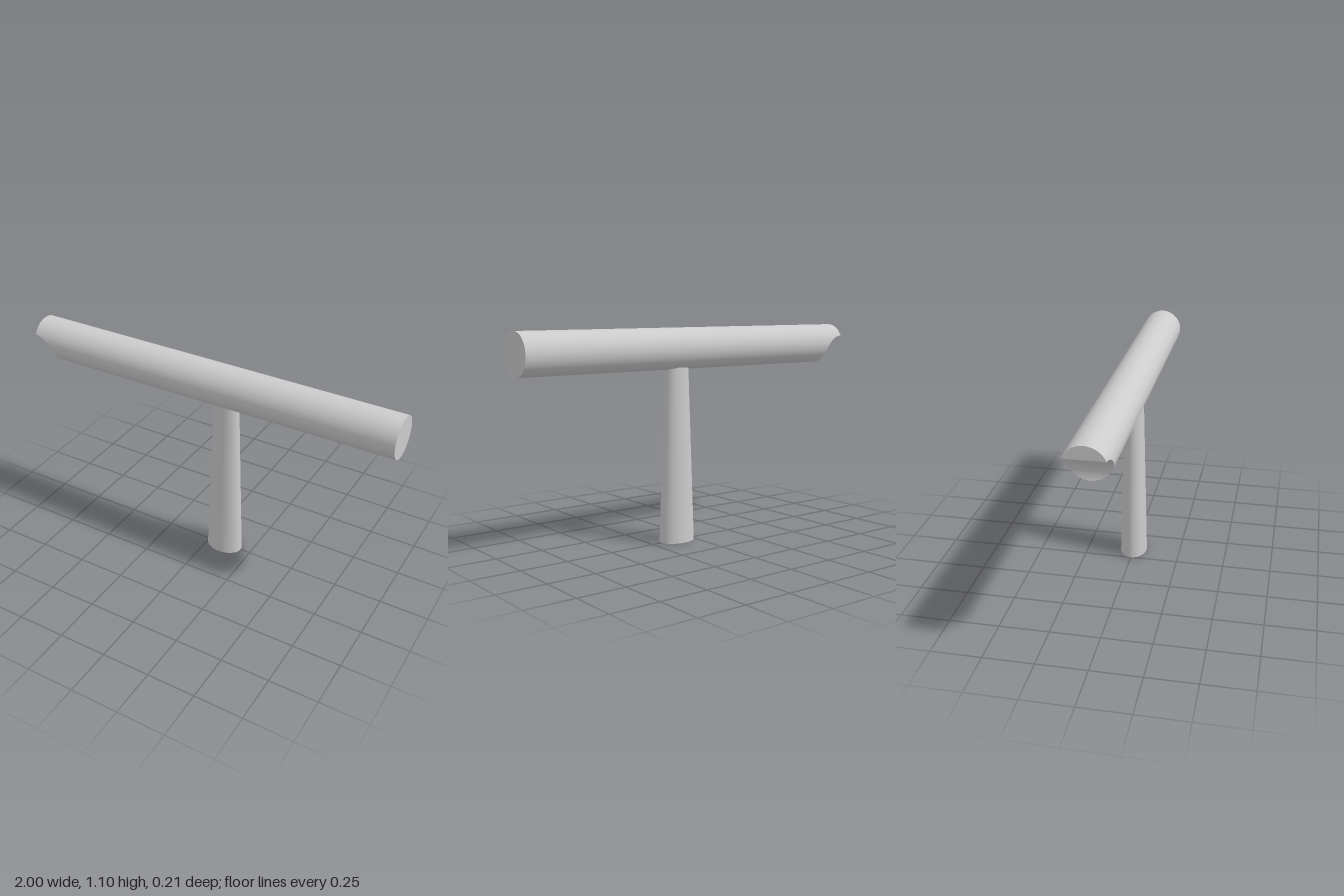
import * as THREE from 'three';
import { toCreasedNormals } from 'three/addons/utils/BufferGeometryUtils.js';

const R = 0.105, CY = 0.993;           // tube radius and axis height
const NOTCH_R = 0.12, NOTCH_Y = 0.915; // round notch cut into the tube's -x end

// x of the tube's notched end at height y
function endX(y) {
  const d = NOTCH_R ** 2 - (y - NOTCH_Y) ** 2;
  return d > 1e-9 ? -1 + Math.sqrt(d) : -1;
}

// Heights of the cross-section rows: even around the tube and even around the notch
function rowHeights() {
  const ys = [NOTCH_Y + NOTCH_R];
  for (let i = 0; i <= 32; i++) ys.push(CY - R * Math.cos(Math.PI * i / 32));
  for (let i = 0; i < 24; i++) ys.push(NOTCH_Y + NOTCH_R * Math.sin(Math.PI / 2 * i / 24));
  return ys.sort((a, b) => a - b).filter((y, i) => i === 0 || y - ys[i - 1] > 1e-6);
}

// Solid tube built from strips that run between neighbouring heights
function tubeGeometry() {
  const pos = [];
  const quad = (a, b, c, d) => pos.push(...a, ...b, ...c, ...a, ...c, ...d);
  const rows = rowHeights().map((y) => {
    const z = Math.sqrt(Math.max(0, R * R - (y - CY) ** 2)), x = endX(y);
    return { lf: [x, y, z], lb: [x, y, -z], rf: [1, y, z], rb: [1, y, -z] };
  });
  for (let i = 0; i < rows.length - 1; i++) {
    const p = rows[i], q = rows[i + 1];
    quad(p.lf, p.rf, q.rf, q.lf); // front wall
    quad(p.rb, p.lb, q.lb, q.rb); // back wall
    quad(p.rf, p.rb, q.rb, q.rf); // flat end
    quad(p.lb, p.lf, q.lf, q.lb); // notched end
  }
  const geo = new THREE.BufferGeometry();
  geo.setAttribute('position', new THREE.Float32BufferAttribute(pos, 3));
  // enlarged while creasing so that close vertices stay apart
  geo.scale(100, 100, 100);
  return toCreasedNormals(geo, 0.6).scale(0.01, 0.01, 0.01);
}

export function createModel() {
  const group = new THREE.Group();
  const material = new THREE.MeshStandardMaterial({ color: 0xcccccc });

  // Horizontal tube
  const tube = new THREE.Mesh(tubeGeometry(), material);
  tube.name = 'tube';
  group.add(tube);

  // Tapered oval post, its top sunk into the tube
  const height = 0.93;
  const postGeo = new THREE.CylinderGeometry(0.066, 0.098, height, 48);
  postGeo.scale(1, 1, 0.715);
  postGeo.translate(0.097, height / 2, 0);
  const post = new THREE.Mesh(postGeo, material);
  post.name = 'post';
  group.add(post);

  return group;
}
